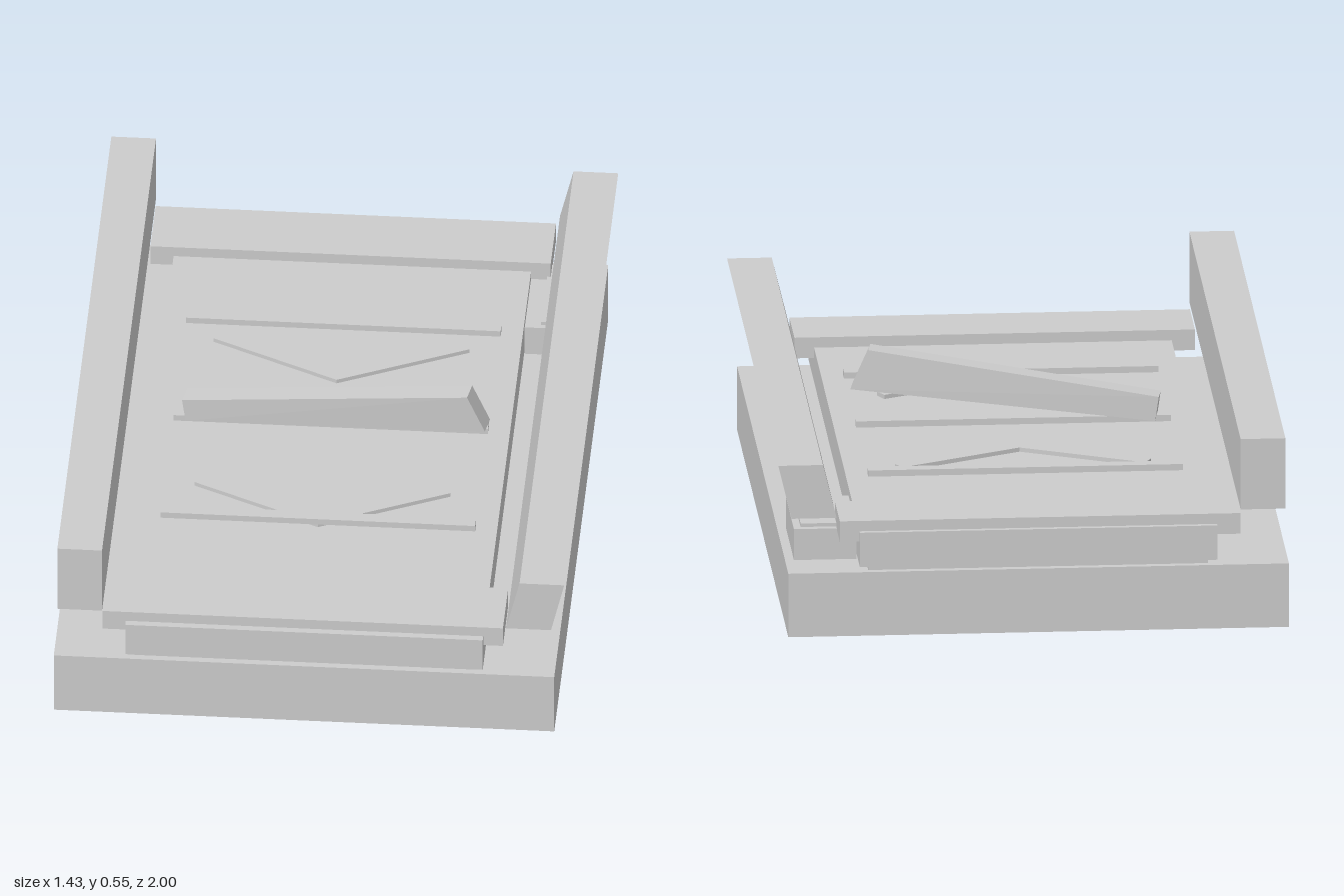
import * as THREE from 'three';

const mat = new THREE.MeshStandardMaterial({ color: 0xcccccc, flatShading: true });

export function createModel() {
  const group = new THREE.Group();
  const add = (name, geo) => {
    const mesh = new THREE.Mesh(geo, mat);
    mesh.name = name;
    group.add(mesh);
    return mesh;
  };
  // Box given by its extents on each axis
  const box = (name, [x0, x1], [y0, y1], [z0, z1]) =>
    add(name, new THREE.BoxGeometry(x1 - x0, y1 - y0, z1 - z0)
      .translate((x0 + x1) / 2, (y0 + y1) / 2, (z0 + z1) / 2));
  // Flat outline in x/z, raised from y0 to y1
  const slab = (name, pts, y0, y1) => {
    const shape = new THREE.Shape(pts.map(([x, z]) => new THREE.Vector2(x, -z)));
    add(name, new THREE.ExtrudeGeometry(shape, { depth: y1 - y0, bevelEnabled: false })
      .rotateX(-Math.PI / 2).translate(0, y0, 0));
  };

  // Base block and raised deck
  box('base', [-0.715, 0.685], [0, 0.185], [-1, 1]);
  box('deck', [-0.515, 0.485], [0.2, 0.3], [-1, 1]);

  // Cross slats at both ends, with thin spacers under the deck
  box('frontSlat', [-0.58, 0.54], [0.27, 0.33], [0.785, 0.98]);
  box('backSlat', [-0.58, 0.54], [0.27, 0.33], [-0.985, -0.79]);
  box('frontSpacer', [-0.49, 0.46], [0.185, 0.2], [0.87, 0.98]);
  box('backSpacer', [-0.49, 0.46], [0.185, 0.2], [-0.98, -0.95]);

  // Side block with a thin plate on top
  box('sideBlock', [0.485, 0.66], [0.185, 0.275], [-0.87, -0.555]);
  box('sidePlate', [0.53, 0.64], [0.275, 0.285], [-0.85, -0.57]);

  // Thin bars across the deck
  for (const z of [-0.475, -0.002, 0.47]) {
    box('crossBar', [-0.455, 0.425], [0.309, 0.327], [z - 0.018, z + 0.018]);
  }

  // V-shaped strips on the deck
  for (const z of [-0.21, 0.488]) {
    slab('chevron', [
      [-0.015, z], [-0.373, z - 0.175], [-0.355, z - 0.21], [-0.015, z - 0.043],
      [0.325, z - 0.21], [0.343, z - 0.175],
    ], 0.299, 0.312);
  }

  // Long side rails: one upright, one leaning outward
  box('rightRail', [-0.705, -0.58], [0.345, 0.55], [-1, 1]);
  const lean = new THREE.Shape([[0.55, 0.345], [0.676, 0.345], [0.713, 0.5], [0.588, 0.5]]
    .map((p) => new THREE.Vector2(...p)));
  add('leftRail', new THREE.ExtrudeGeometry(lean, { depth: 2, bevelEnabled: false }).translate(0, 0, -1));

  // Tilted lever: a box whose corners are moved to a tapered, turned wedge
  const lever = new THREE.BoxGeometry(2, 2, 2);
  const pos = lever.attributes.position;
  for (let i = 0; i < pos.count; i++) {
    const right = pos.getX(i) > 0, top = pos.getY(i) > 0, front = pos.getZ(i) > 0;
    const x = right ? (top ? 0.38 : 0.43) : (top ? -0.425 : -0.415);
    const y = right ? (top ? 0.508 : 0.395) : (top ? 0.385 : 0.315);
    const z = (right ? 0.096 : -0.006) + (front ? 0.03 : -0.03);
    pos.setXYZ(i, x + (front ? -0.005 : 0.005), y, z);
  }
  lever.computeVertexNormals();
  add('lever', lever);

  return group;
}
